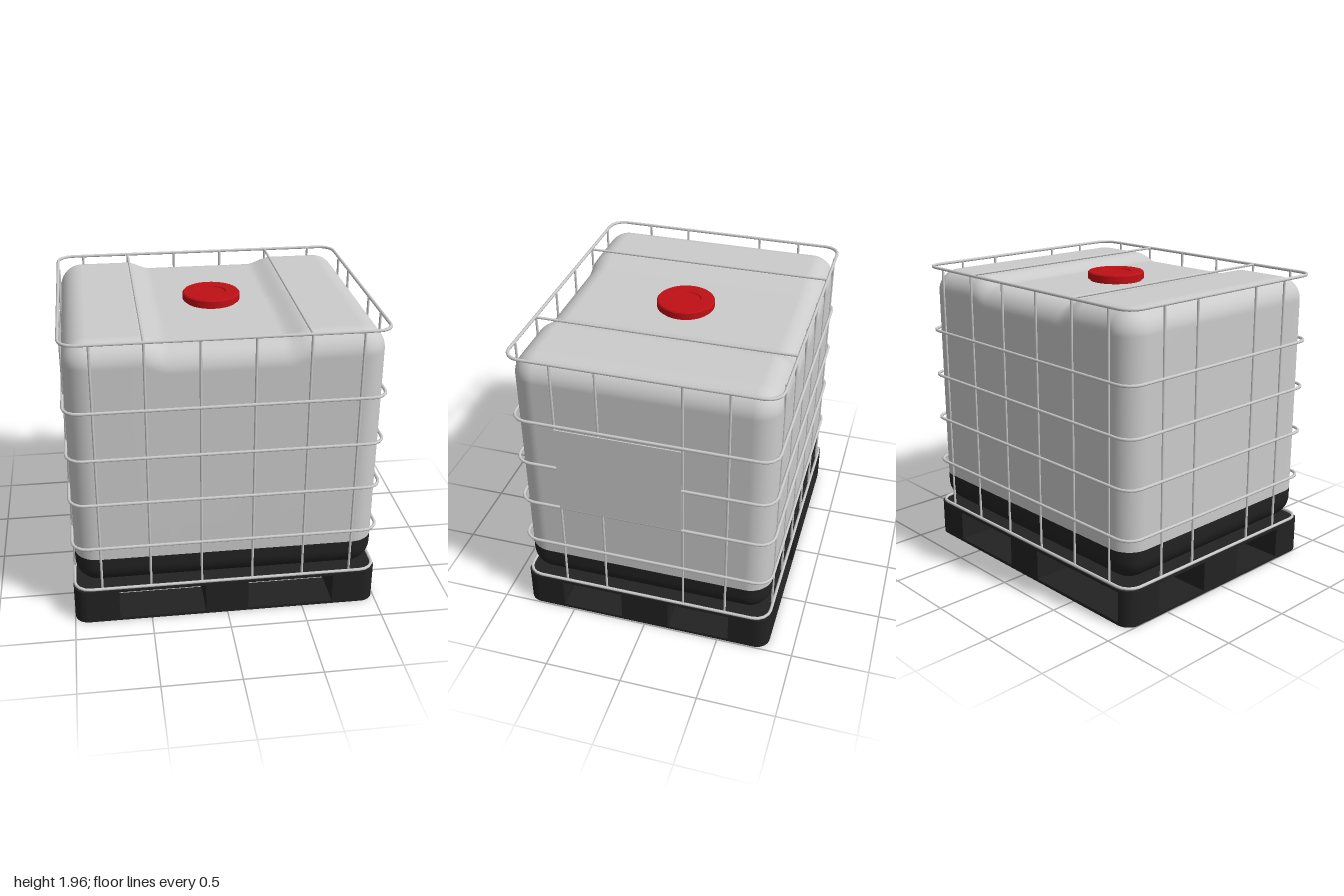
import * as THREE from 'three';

const grey = new THREE.MeshStandardMaterial({ color: 0xcccccc });
const black = new THREE.MeshStandardMaterial({ color: 0x222222 });
const red = new THREE.MeshStandardMaterial({ color: 0xc01015 });

const HX = 0.995, HZ = 0.835; // half footprint of pallet and cage

function add(parent, name, geometry, material, x = 0, y = 0, z = 0) {
  const mesh = new THREE.Mesh(geometry, material);
  mesh.name = name;
  mesh.position.set(x, y, z);
  parent.add(mesh);
  return mesh;
}

function group(parent, name) {
  const g = new THREE.Group();
  g.name = name;
  parent.add(g);
  return g;
}

// Rounded rectangle; a radius per corner: ++, -+, --, +-
function roundedRect(hx, hy, radii) {
  const s = new THREE.Shape();
  [[1, 1], [-1, 1], [-1, -1], [1, -1]].forEach(([sx, sy], i) => {
    const r = radii[i], start = i * Math.PI / 2;
    if (r) s.absarc(sx * (hx - r), sy * (hy - r), r, start, start + Math.PI / 2);
    else if (i) s.lineTo(sx * hx, sy * hy);
    else s.moveTo(sx * hx, sy * hy);
  });
  s.closePath();
  return s;
}

// Upright slab from a plan outline
function slab(shape, height) {
  const g = new THREE.ExtrudeGeometry(shape, { depth: height, bevelEnabled: false, curveSegments: 8 });
  return g.rotateX(-Math.PI / 2);
}

// ---- Pallet: two decks and nine blocks ----
function buildPallet(parent) {
  const pallet = group(parent, 'pallet');
  const r = 0.09, plan = () => roundedRect(HX, HZ, [r, r, r, r]);
  const bottom = plan();
  for (const sx of [-1, 1]) for (const sz of [-1, 1]) {
    const hole = new THREE.Path();
    const cx = sx * 0.4225, cz = sz * 0.365, w = 0.2825, d = 0.205;
    hole.moveTo(cx - w, cz - d).lineTo(cx - w, cz + d).lineTo(cx + w, cz + d).lineTo(cx + w, cz - d).closePath();
    bottom.holes.push(hole);
  }
  add(pallet, 'bottomDeck', slab(bottom, 0.02), black);
  add(pallet, 'topDeck', slab(plan(), 0.017), black, 0, 0.222, 0);
  for (const sx of [-1, 0, 1]) for (const sz of [-1, 0, 1]) {
    const hx = sx ? 0.145 : 0.14, hz = sz ? 0.1325 : 0.16;
    // only the outer corner of a corner block is rounded
    const radii = [[1, 1], [-1, 1], [-1, -1], [1, -1]].map(([a, b]) => (a === sx && b === -sz ? r : 0));
    add(pallet, 'block', slab(roundedRect(hx, hz, radii), 0.202), black,
      sx * (HX - hx), 0.02, sz * (HZ - hz));
  }
}

// ---- Tank: stacked rounded loops with a shallow valley across the top ----
const TX = 0.973, TZ = 0.815, R = 0.15, EDGE = 0.145;
const Y0 = 0.26, YSPLIT = 0.47, Y1 = 1.927;

function tankPerimeter() {
  const pts = [];
  const xs = [0.52, 0.5, 0.475, 0.45, 0.42, 0.39, 0.365, 0.34];
  const across = [...xs, 0, ...xs.map(x => -x).reverse()];
  [[1, -1], [-1, -1], [-1, 1], [1, 1]].forEach(([sx, sz], c) => {
    for (let i = 0; i <= 10; i++) {
      const a = (c + i / 10) * Math.PI / 2;
      pts.push({ cx: sx * (TX - R), cz: sz * (TZ - R), dx: Math.cos(a), dz: -Math.sin(a) });
    }
    if (c % 2 === 0) for (const x of across) pts.push({ cx: -x * sz, cz: sz * (TZ - R), dx: 0, dz: sz });
  });
  return pts;
}

function tankGeometry(loops) {
  const ring = tankPerimeter(), n = ring.length, pos = [], index = [];
  loops.forEach(({ inset, y, dip = 0, flatten = 1 }) => {
    for (const p of ring) {
      const x = p.cx + p.dx * (R - inset), z = p.cz + p.dz * (R - inset);
      const valley = 1 - THREE.MathUtils.smoothstep(Math.abs(x), 0.35, 0.51);
      pos.push(x, y - dip * valley * 0.047, z * flatten);
    }
  });
  for (let j = 0; j < loops.length - 1; j++) for (let i = 0; i < n; i++) {
    const a = j * n + i, b = j * n + (i + 1) % n;
    index.push(a, b, b + n, a, b + n, a + n);
  }
  const g = new THREE.BufferGeometry();
  g.setAttribute('position', new THREE.Float32BufferAttribute(pos, 3));
  g.setIndex(index);
  g.computeVertexNormals();
  return g;
}

function buildTank(parent) {
  const tank = group(parent, 'tank');
  const lower = [{ inset: EDGE, y: Y0, flatten: 0 }], upper = [{ inset: 0, y: YSPLIT }];
  for (let i = 0; i <= 10; i++) {
    const a = i / 10 * Math.PI / 2;
    lower.push({ inset: EDGE * (1 - Math.sin(a)), y: Y0 + EDGE * (1 - Math.cos(a)) });
    upper.push({ inset: EDGE * (1 - Math.cos(a)), y: Y1 - EDGE * (1 - Math.sin(a)), dip: 1 });
  }
  lower.push({ inset: 0, y: YSPLIT });
  upper.push({ inset: EDGE, y: Y1, dip: 1, flatten: 0 });
  add(tank, 'tankBase', tankGeometry(lower), black);
  add(tank, 'tankBody', tankGeometry(upper), grey);

  // Screw cap with a recessed centre
  const profile = [[0.17, 1.86], [0.17, 1.89], [0.185, 1.893], [0.185, 1.932], [0.178, 1.94],
    [0.098, 1.94], [0.094, 1.933], [0, 1.933]].map(([x, y]) => new THREE.Vector2(x, y));
  const cap = new THREE.LatheGeometry(profile, 48).toNonIndexed();
  cap.computeVertexNormals();
  add(tank, 'cap', cap, red);
}

// ---- Cage: rings, uprights, top bars and a plate ----
function buildCage(parent) {
  const cage = group(parent, 'cage');
  const t = 0.01, cr = 0.1;
  const outline = roundedRect(HX - t, HZ - t, [cr, cr, cr, cr]).getSpacedPoints(180).slice(0, -1);
  const path = new THREE.CatmullRomCurve3(outline.map(p => new THREE.Vector3(p.x, 0, -p.y)), true);
  const ring = new THREE.TubeGeometry(path, 180, t, 8, true);
  for (const y of [0.25, 0.56, 0.88, 1.193, 1.51, 1.945]) add(cage, 'ring', ring, grey, 0, y, 0);

  const upright = new THREE.CylinderGeometry(0.008, 0.008, 1.695, 8);
  const yMid = 0.25 + 1.695 / 2;
  for (const s of [-1, 1]) {
    for (const x of [-0.81, -0.495, -0.165, 0.165, 0.495, 0.81]) add(cage, 'upright', upright, grey, x, yMid, s * 0.817);
    for (const z of [-0.54, -0.262, 0.262, 0.54]) add(cage, 'upright', upright, grey, s * 0.977, yMid, z);
    const bar = new THREE.CylinderGeometry(0.008, 0.008, 2 * (HZ - t), 8).rotateX(Math.PI / 2);
    add(cage, 'topBar', bar, grey, s * 0.495, 1.945, 0);
  }
  add(cage, 'labelPlate', new THREE.BoxGeometry(0.008, 0.605, 0.795), grey, 0.998, 1.193, 0.14);
}

export function createModel() {
  const model = new THREE.Group();
  model.name = 'bulkContainer';
  const body = group(model, 'container');
  body.position.x = -0.003;
  buildPallet(body);
  buildTank(body);
  buildCage(body);
  return model;
}
